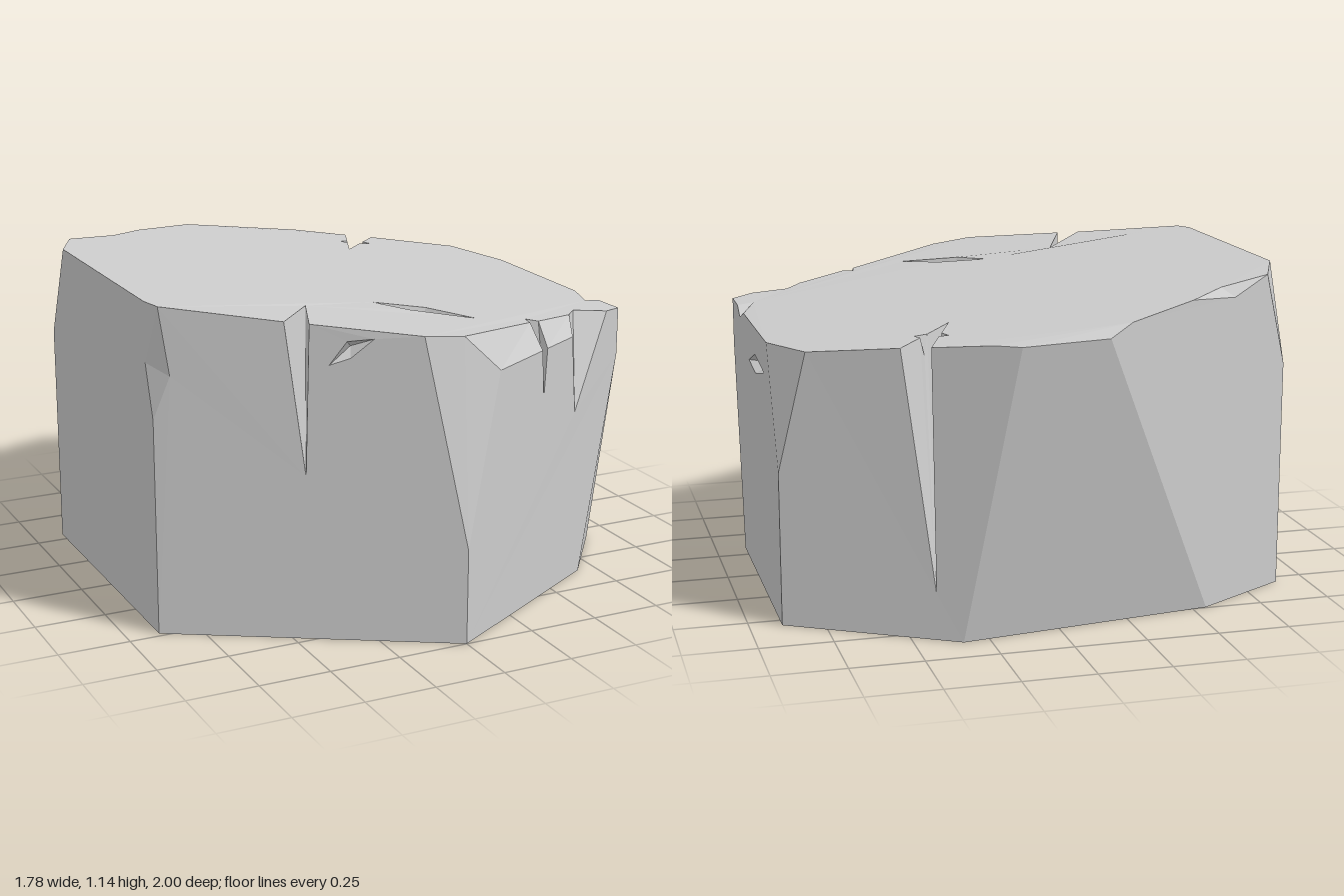
import * as THREE from 'three';

const material = new THREE.MeshStandardMaterial({ color: 0xcccccc, flatShading: true, side: THREE.DoubleSide });
const V = (x, y, z) => new THREE.Vector3(x, y, z);

// Point on the gently tilted top
const T = (x, z) => V(x, 1.033 - 0.115 * x + 0.004 * Math.sin(5 * x + 3 * z), z);

// Triangulates a nearly flat polygon in space (with holes), corners counter-clockwise from outside
function facet(contour, holes = []) {
  const n = V(0, 0, 0);
  contour.forEach((p, i) => n.add(p.clone().cross(contour[(i + 1) % contour.length])));
  n.normalize();
  const u = (Math.abs(n.y) > 0.9 ? V(1, 0, 0) : V(0, 1, 0)).cross(n).normalize();
  const v = n.clone().cross(u);
  const flat = (list) => list.map((p) => new THREE.Vector2(p.dot(u), p.dot(v)));
  const all = [...contour, ...holes.flat()];
  return THREE.ShapeUtils.triangulateShape(flat(contour), holes.map(flat)).flat().map((i) => all[i]);
}

// Fan of triangles from a rim down to a deep point
const pit = (rim, deep) => rim.flatMap((p, i) => [p, rim[(i + 1) % rim.length], deep]);

function createModel() {
  const model = new THREE.Group();
  const add = (name, ...parts) => {
    const geometry = new THREE.BufferGeometry().setFromPoints(parts.flat());
    geometry.computeVertexNormals();
    const mesh = new THREE.Mesh(geometry, material);
    mesh.name = name;
    model.add(mesh);
  };

  // Foot corners, front tip first, going round past +x
  const front = V(0, 0, 1), frontR = V(0.68, 0, 0.604), rightF = V(0.89, 0, 0.33), rightB = V(0.89, 0, -0.55);
  const backR = V(0.34, 0, -0.867), backL = V(-0.55, 0, -0.745), leftB = V(-0.89, 0, -0.55), leftF = V(-0.89, 0, 0.48);

  // Points where the corner cuts begin
  const cutFront = V(0, 0.33, 1), cutFR = V(0.89, 0.76, 0.48), cutBR = V(0.89, 0.53, -0.55);
  const cutBL = V(-0.89, 0.8, -0.55), cutFL = V(-0.89, 0.75, 0.48);
  const dentA = V(-0.84, 0.9, 0.51), dentB = V(-0.89, 0.93, 0.42);
  const backTopR = V(0.17, 1.0, -0.966), backTopL = V(-0.11, 1.02, -1);

  // Rim of the top
  const r0 = T(-0.13, 0.92), r1 = T(0.02, 0.91);
  const r2 = T(0.39, 0.7), r3 = T(0.4, 0.65), r4 = T(0.435, 0.68);
  const r5 = T(0.62, 0.58), r6 = T(0.68, 0.51), r7 = T(0.81, 0.527), r8 = T(0.89, 0.48);
  const r9 = T(0.89, 0.35), r10 = T(0.83, 0.355), r11 = T(0.89, 0.19);
  const r12 = T(0.89, -0.35), r13 = T(0.8, -0.6);
  const r14 = T(0.52, -0.762), r15 = T(0.3, -0.51), r16 = T(0.43, -0.814);
  const r17 = T(0.25, -0.919), r18 = T(-0.2, -0.948), r19 = T(-0.46, -0.797), r20 = T(-0.6, -0.68), r21 = T(-0.8, -0.6);
  const r22 = T(-0.89, -0.4), r23 = T(-0.89, 0.42), r24 = T(-0.87, 0.493);
  const r25 = T(-0.52, 0.697), r26 = T(-0.34, 0.47), r27 = T(-0.45, 0.738);

  // Small bites in both sides of the back crack
  const bR = [T(0.432, -0.662), T(0.445, -0.63), T(0.4, -0.626)], bRDeep = V(0.415, 0.92, -0.65);
  const bL = [T(0.355, -0.64), T(0.343, -0.685), T(0.373, -0.68)], bLDeep = V(0.37, 0.92, -0.665);

  // Lower edge of the front bevel and tips of the cracks
  const e0 = V(0.16, 0.9, 0.907), e1 = V(0.405, 0.9, 0.764), e2 = V(0.435, 0.9, 0.746), e3 = V(0.59, 0.9, 0.656);
  const tipThin = V(0.42, 0.73, 0.755), tipWide = V(0.62, 0.62, 0.639), tipLeft = V(-0.46, 0.57, 0.732);
  const tipBack = V(0.42, 0.16, -0.82), tipEdge = V(0.89, 0.895, 0.29);
  const bevelBack = V(-0.65, 1.07, -0.686);

  // Chips gouged out of the faces
  const topRim = [T(-0.07, 0.43), T(0.01, 0.545), T(0.205, 0.655), T(0.09, 0.51)];
  const rightRim = [V(0.89, 0.78, 0.08), V(0.89, 0.765, -0.08), V(0.89, 0.81, -0.285), V(0.89, 0.83, -0.07)];
  const leftRim = [[-0.395, 0.95], [-0.335, 0.975], [-0.27, 1.04], [-0.345, 1.03]].map(([x, y]) => V(x, y, 1 + 0.583 * x));

  add('top', facet([r0, r1, r2, r3, r4, r5, r6, r7, r8, r9, r10, r11, r12, r13, r14, ...bR, r15, ...bL, r16,
    r17, r18, r19, r20, r21, r22, r23, r24, r25, r26, r27], [topRim]));
  add('frontRightWall', facet([front, frontR, cutFR, r8, r7, tipWide, e3, e2, tipThin, e1, e0, cutFront]));
  add('rightWall', facet([rightF, rightB, cutBR, r12, r11, tipEdge, r9, r8, cutFR], [rightRim]));
  add('backRightWall', facet([rightB, backR, backTopR, r17, r16, tipBack, r14, r13, cutBR]));
  add('backWall', facet([backR, backL, backTopL, backTopR]));
  add('backLeftWall', facet([backL, leftB, cutBL, r21, bevelBack, r19, r18, backTopL]));
  add('leftWall', facet([leftB, leftF, cutFL, dentB, r23, r22, cutBL]));
  add('frontLeftWall', facet([leftF, front, cutFront, r0, r27, tipLeft, r25, r24, dentA, cutFL], [leftRim]));

  // Cut corners and bevelled rim
  add('cornerCuts',
    facet([frontR, rightF, cutFR]),
    facet([cutBR, r12, r13]),
    facet([cutBL, r21, r22].reverse()),
    [cutFL, dentA, dentB, dentB, dentA, r24, dentB, r24, r23],
    facet([cutFront, e0, r1, r0]));
  add('rimBevels',
    facet([e0, e1, r2, r1]),
    facet([e2, e3, r5, r4]),
    facet([backTopR, backTopL, r18, r17]),
    facet([r21, r20, r19, bevelBack].reverse()));

  // Wedge-shaped cracks
  add('cracks',
    facet([tipThin, r3, r2, e1]), facet([tipThin, e2, r4, r3]),
    facet([tipWide, r6, r5, e3]), facet([tipWide, r7, r6]),
    facet([tipLeft, r26, r25]), facet([tipLeft, r27, r26]),
    facet([tipEdge, r10, r9]), facet([tipEdge, r11, r10]),
    facet([tipBack, r15, bR[2], bRDeep, bR[0], r14]),
    facet([tipBack, r16, bL[2], bLDeep, bL[0], r15]),
    [bR[0], bRDeep, bR[1], bR[1], bRDeep, bR[2]],
    [bL[0], bLDeep, bL[1], bL[1], bLDeep, bL[2]]);

  add('chips',
    pit(topRim, V(0.07, 0.93, 0.54)),
    pit(rightRim, V(0.82, 0.8, -0.08)),
    pit(leftRim, V(-0.31, 1.0, 0.75)));
  return model;
}

export { createModel };
